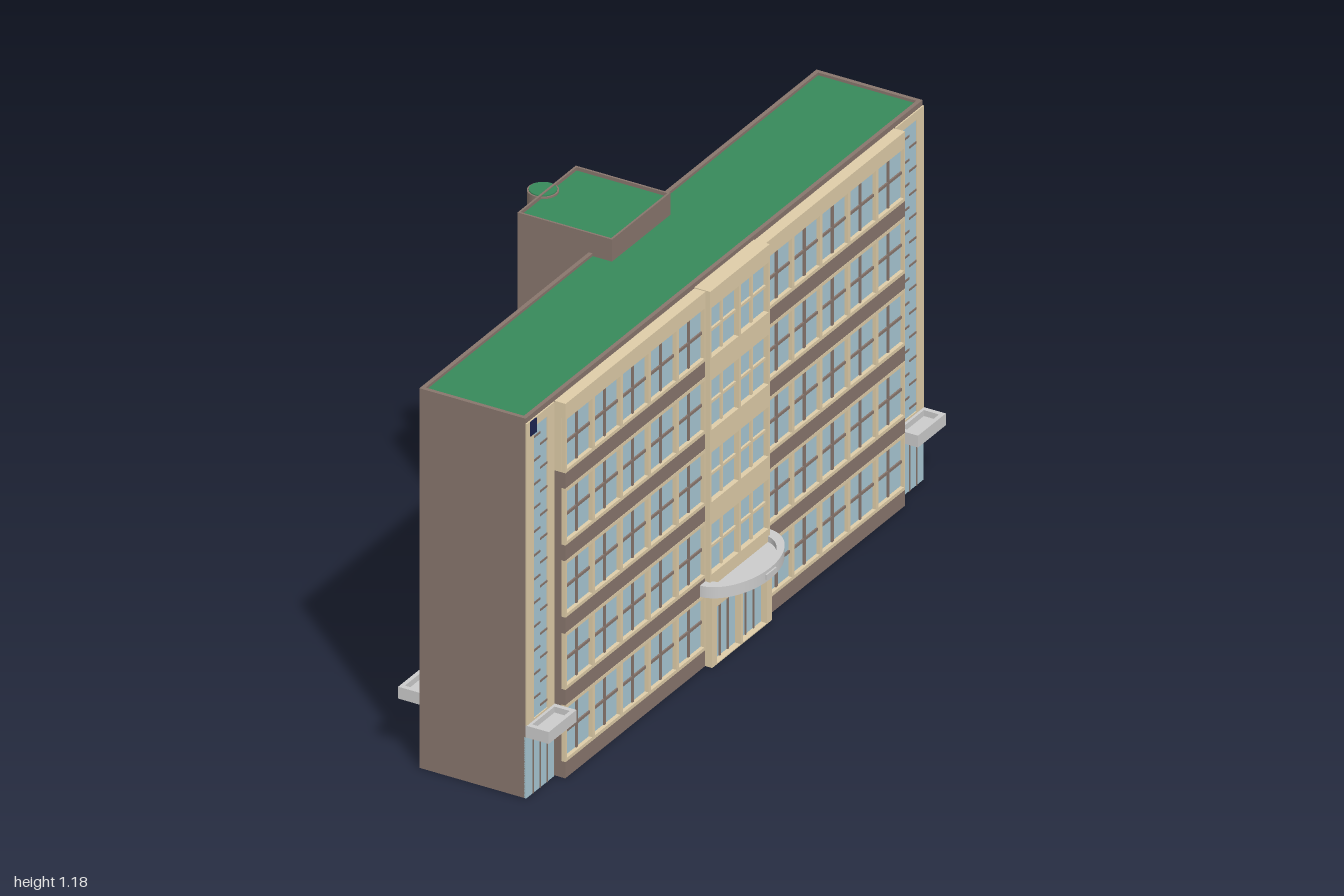
import * as THREE from 'three';

const mat = (color) => new THREE.MeshStandardMaterial({ color });

export function createModel() {
  const brown = mat(0x88766d), cream = mat(0xdfcda8), glass = mat(0xa8c8d4);
  const green = mat(0x37895a), navy = mat(0x1c2350), grey = mat(0xcccccc);
  const model = new THREE.Group();
  model.name = 'building';

  // Each facade group uses u along the wall, y up and d outwards from the centre
  const facade = (name, turn) => {
    const g = new THREE.Group();
    g.name = name;
    g.rotation.y = turn;
    model.add(g);
    return g;
  };
  const front = facade('mainFacade', Math.PI / 2);   // u = -z, d = x
  const back = facade('rearFacade', -Math.PI / 2);   // u = z, d = -x

  const add = (parent, name, geo, m) => {
    const mesh = new THREE.Mesh(geo, m);
    mesh.name = name;
    parent.add(mesh);
    return mesh;
  };
  // Box given by its limits
  const block = (parent, name, m, x0, x1, y0, y1, z0, z1) =>
    add(parent, name, new THREE.BoxGeometry(x1 - x0, y1 - y0, z1 - z0), m)
      .position.set((x0 + x1) / 2, (y0 + y1) / 2, (z0 + z1) / 2);

  const rect = (C, x0, x1, y0, y1) => new C([[x0, y0], [x1, y0], [x1, y1], [x0, y1]]
    .map(([x, y]) => new THREE.Vector2(x, y)));
  const extrude = (shape, depth) =>
    new THREE.ExtrudeGeometry(shape, { depth, bevelEnabled: false, curveSegments: 32 });

  // Upright panel with rectangular openings
  const panel = (parent, name, m, [u0, u1, y0, y1], holes, d0, d1) => {
    const s = rect(THREE.Shape, u0, u1, y0, y1);
    holes.forEach((h) => s.holes.push(rect(THREE.Path, ...h)));
    add(parent, name, extrude(s, d1 - d0), m).position.z = d0;
  };

  // Row of framed windows, each with a cross of glazing bars
  const windowBand = (parent, u0, u1, n, y0, y1, d0, d1, frame, bar) => {
    const pitch = (u1 - u0) / n, holes = [], b = 0.004, db = d0 + (d1 - d0) * 0.5;
    for (let i = 0; i < n; i++) {
      const a = u0 + i * pitch + 0.006, c = a + pitch - 0.012, mid = (a + c) / 2;
      const lo = y0 + 0.01, hi = y1 - 0.01, my = (lo + hi) / 2;
      holes.push([a, c, lo, hi]);
      block(parent, 'glazingBar', bar, mid - b, mid + b, lo, hi, d0, db);
      block(parent, 'glazingBar', bar, a, c, my - b, my + b, d0, db);
    }
    block(parent, 'windowGlass', glass, u0 + 0.004, u1 - 0.004, y0 + 0.004, y1 - 0.004, d0 - 0.002, d0 + 0.002);
    panel(parent, 'windowFrame', frame, [u0, u1, y0, y1], holes, d0, d1);
  };

  // Flat canopy with a raised rim, from a plan outline in (u, d)
  const canopy = (parent, name, outline, inner, y0, y1) => {
    const g = new THREE.Group();
    g.name = name;
    parent.add(g);
    const flat = (part, shape, lo, hi) => {
      const mesh = add(g, part, extrude(shape, hi - lo), grey);
      mesh.rotation.x = Math.PI / 2;
      mesh.position.y = hi;
    };
    const mid = y0 + (y1 - y0) * 0.5;
    flat('canopySlab', outline, y0, mid);
    const rim = outline.clone();
    rim.holes.push(inner);
    flat('canopyRim', rim, mid, y1);
  };

  // Stair bay: tall glass strip with staggered bars, glazed entrance, small canopy
  const stairBay = (parent, u0, u1, d, wall, margin) => {
    const a = u0 + margin, c = u1 - margin, mid = (a + c) / 2;
    panel(parent, 'stairBayWall', wall, [u0, u1, 0.18, 1.105], [[a, c, 0.22, 1.08]], d, d + 0.004);
    block(parent, 'stairGlass', glass, a, c, 0.2, 1.09, d - 0.004, d + 0.001);
    for (let i = 0; i < 24; i++) {
      const y = 0.24 + i * 0.035;
      const [p, q] = i % 2 ? [a, mid] : [mid, c];
      block(parent, 'stairGlassBar', brown, p, q, y, y + 0.006, d, d + 0.003);
    }
    block(parent, 'entranceGlass', glass, u0, u1, 0, 0.18, d - 0.004, d + 0.002);
    for (let i = 1; i < 4; i++) {
      const u = u0 + (u1 - u0) * i / 4;
      block(parent, 'entranceMullion', brown, u - 0.002, u + 0.002, 0, 0.18, d, d + 0.004);
    }
    canopy(parent, 'stairCanopy', rect(THREE.Shape, u0, u1, d, d + 0.07),
      rect(THREE.Path, u0 + 0.014, u1 - 0.014, d + 0.012, d + 0.058), 0.18, 0.215);
  };

  // Flat roof with a low parapet around it
  const roof = (name, x0, x1, z0, z1, y, h, r) => {
    block(model, name, green, x0 + r, x1 - r, y - 0.01, y + 0.002, z0 + r, z1 - r);
    for (const [p, q] of [[x0, x0 + r], [x1 - r, x1]])
      block(model, name + 'Parapet', brown, p, q, y, y + h, z0, z1);
    for (const [p, q] of [[z0, z0 + r], [z1 - r, z1]])
      block(model, name + 'Parapet', brown, x0 + r, x1 - r, y, y + h, p, q);
  };

  // Main body and roof
  block(model, 'mainBody', brown, -0.1, 0.22, 0, 1.11, -1, 1);
  roof('mainRoof', -0.1, 0.22, -1, 1, 1.11, 0.01, 0.012);

  // Rear stair tower with a rounded shaft
  block(model, 'stairTower', brown, -0.315, -0.03, 0, 1.165, -0.147, 0.147);
  roof('towerRoof', -0.315, -0.03, -0.147, 0.147, 1.165, 0.012, 0.006);
  add(model, 'towerShaft', new THREE.CylinderGeometry(0.042, 0.042, 1.172, 32), brown)
    .position.set(-0.326, 0.586, 0);
  add(model, 'shaftRoof', new THREE.CylinderGeometry(0.037, 0.037, 0.01, 32), green)
    .position.set(-0.326, 1.17, 0);

  // Storeys
  const step = 0.213, wing = 0.855, core = 0.15;
  for (let i = 0; i < 5; i++) {
    const y0 = 0.048 + i * step, y1 = y0 + 0.167;
    for (const s of [-1, 1]) {
      const [a, c] = s < 0 ? [-wing, -core] : [core, wing];
      // Main facade wings
      block(front, 'spandrelBand', brown, a, c, y0 - 0.048, y0, 0.22, 0.253);
      block(front, 'wingBacking', i < 4 ? brown : cream, a, c, y0, y1, 0.22, 0.24);
      windowBand(front, a, c, 5, y0, y1, 0.241, 0.254, cream, brown);
      // Rear wings, with a door in place of one ground-floor window
      const door = i === 0 && s < 0;
      windowBand(back, door ? a + 0.17 : a, c, door ? 4 : 5, y0, y1, 0.101, 0.106, cream, brown);
      // Tower windows either side of the shaft
      const t = s * 0.092;
      windowBand(back, t - 0.035, t + 0.035, 1, y0 + 0.02, y1 - 0.02, 0.316, 0.32, cream, brown);
    }
    // Central bay windows
    if (i > 0) {
      windowBand(front, -core, core, 2, y0, y1, 0.251, 0.268, cream, cream);
      block(front, 'centralSpandrel', cream, -core, core, y0 - 0.048, y0, 0.22, 0.268);
    }
  }
  block(front, 'centralBacking', cream, -core, core, 0, 1.065, 0.22, 0.25);
  for (const [a, c] of [[-wing, -core], [core, wing]])
    block(front, 'wingCornice', cream, a, c, 1.06, 1.105, 0.22, 0.254);
  block(front, 'centralCornice', cream, -core, core, 1.065, 1.108, 0.22, 0.268);

  // Main entrance
  panel(front, 'entranceFrame', cream, [-core, core, 0, 0.215],
    [[-0.125, -0.006, 0.003, 0.17], [0.006, 0.125, 0.003, 0.17]], 0.25, 0.274);
  block(front, 'entranceDoors', glass, -0.13, 0.13, 0.002, 0.175, 0.249, 0.256);
  for (const u of [-0.085, -0.045, 0.045, 0.085])
    block(front, 'doorMullion', brown, u - 0.002, u + 0.002, 0.003, 0.17, 0.256, 0.26);
  const halfEllipse = (C, d, ru, rd) => {
    const p = new C();
    p.absellipse(0, d, ru, rd, 0, Math.PI);
    p.closePath();
    return p;
  };
  canopy(front, 'entranceCanopy', halfEllipse(THREE.Shape, 0.25, 0.177, 0.11),
    halfEllipse(THREE.Path, 0.258, 0.142, 0.085), 0.217, 0.25);
  block(front, 'canopyPlate', grey, -0.025, 0.025, 0.226, 0.241, 0.355, 0.364);

  // Stair bays at the ends, rear door and wall plate
  stairBay(front, -1, -0.86, 0.22, cream, 0.035);
  stairBay(front, 0.86, 1, 0.22, cream, 0.035);
  stairBay(back, 0.86, 0.99, 0.1, brown, 0.012);
  block(back, 'rearDoor', glass, -0.85, -0.72, 0, 0.18, 0.098, 0.103);
  for (const u of [-0.85, -0.785, -0.72])
    block(back, 'rearDoorFrame', brown, u - 0.004, u + 0.004, 0, 0.18, 0.1, 0.106);
  block(front, 'wallPlate', navy, -0.985, -0.955, 1.062, 1.104, 0.22, 0.227);

  return model;
}
